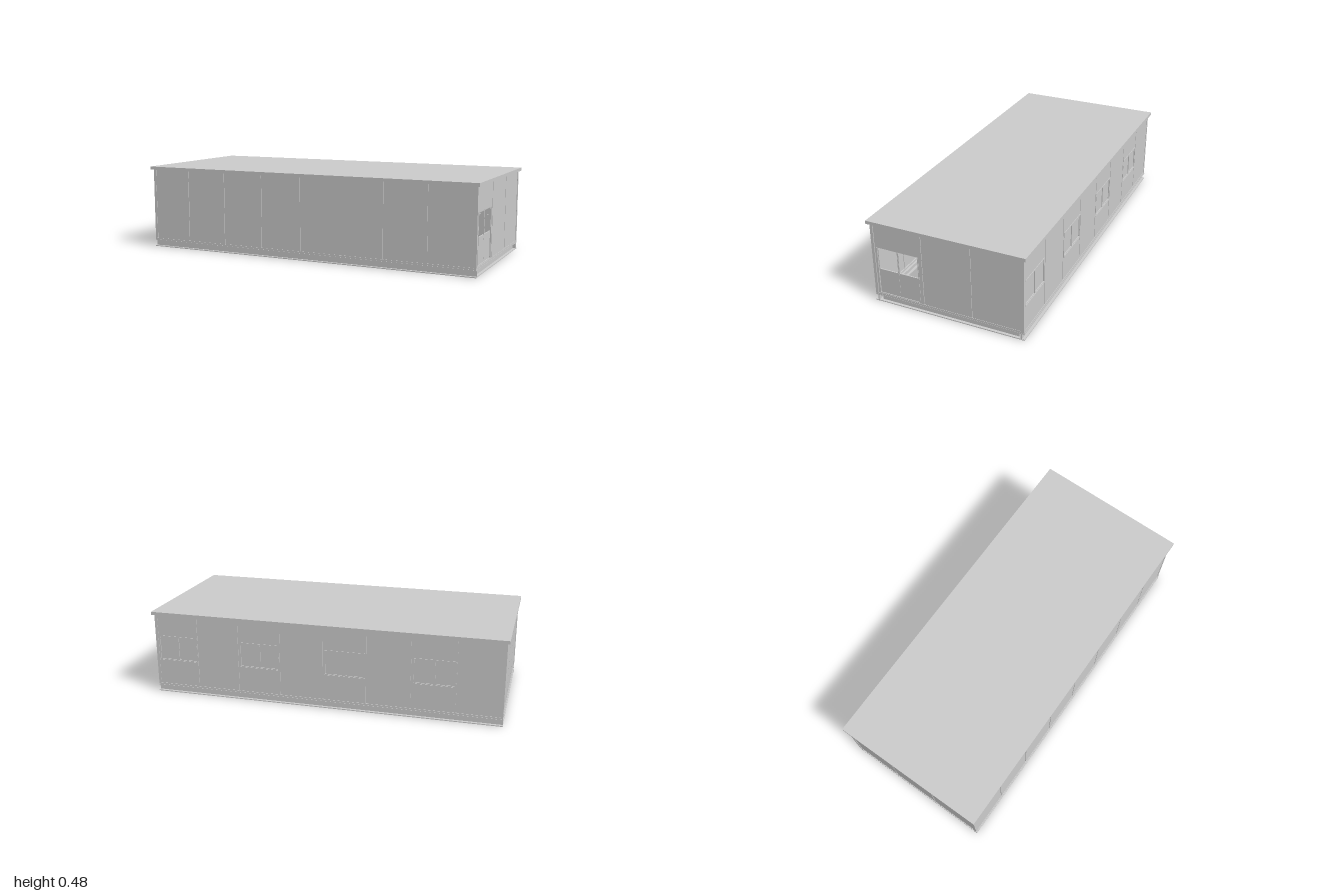
import * as THREE from 'three';

const mat = new THREE.MeshStandardMaterial({ color: 0xcccccc, side: THREE.DoubleSide });

const X = 0.985, Z = 0.425;        // outer faces of the walls
const Y0 = 0.05, Y1 = 0.462;       // wall bottom and top
const T = 0.012, GAP = 0.006;      // panel thickness and joint width

function box(parent, name, x0, x1, y0, y1, z0, z1) {
  const mesh = new THREE.Mesh(new THREE.BoxGeometry(x1 - x0, y1 - y0, z1 - z0), mat);
  mesh.position.set((x0 + x1) / 2, (y0 + y1) / 2, (z0 + z1) / 2);
  mesh.name = name;
  parent.add(mesh);
  return mesh;
}

function group(parent, name) {
  const g = new THREE.Group();
  g.name = name;
  parent.add(g);
  return g;
}

// I-section floor beam lying along local x
function beam(parent, name, length, width = 0.036) {
  const g = group(parent, name);
  const l = length / 2, w = width / 2;
  box(g, 'lowerFlange', -l, l, 0, 0.005, -w, w);
  box(g, 'web', -l, l, 0.005, 0.035, -0.003, 0.003);
  box(g, 'upperFlange', -l, l, 0.035, 0.04, -w, w);
  return g;
}

// Wall panel in local x/y, outer face at z = 0, with an optional rectangular hole
function panel(parent, x0, x1, hole) {
  const rect = (P, a, b, c, d) => {
    const p = new P();
    p.moveTo(a, c); p.lineTo(b, c); p.lineTo(b, d); p.lineTo(a, d); p.closePath();
    return p;
  };
  const shape = rect(THREE.Shape, x0 + GAP / 2, x1 - GAP / 2, Y0, Y1);
  if (hole) shape.holes.push(rect(THREE.Path, ...hole));
  const geo = new THREE.ExtrudeGeometry(shape, { depth: T, bevelEnabled: false });
  geo.translate(0, 0, -T);
  const mesh = new THREE.Mesh(geo, mat);
  mesh.name = 'wallPanel';
  parent.add(mesh);
}

// Rectangular frame of four bars
function frame(parent, name, x0, x1, y0, y1, w, z0, z1) {
  const g = group(parent, name);
  box(g, 'leftBar', x0, x0 + w, y0, y1, z0, z1);
  box(g, 'rightBar', x1 - w, x1, y0, y1, z0, z1);
  box(g, 'topBar', x0 + w, x1 - w, y1 - w, y1, z0, z1);
  box(g, 'bottomBar', x0 + w, x1 - w, y0, y0 + w, z0, z1);
}

// Two-pane window filling the width of one panel
function windowUnit(parent, x0, x1) {
  const g = group(parent, 'window');
  const a = x0 + 0.008, b = x1 - 0.008, m = (a + b) / 2;
  box(g, 'glass', a, b, 0.195, 0.335, -0.008, -0.004);
  frame(g, 'leftSash', a, m, 0.195, 0.335, 0.005, -0.006, 0.001);
  frame(g, 'rightSash', m, b, 0.195, 0.335, 0.005, -0.006, 0.001);
  box(g, 'head', a, b, 0.333, 0.338, 0, 0.003);
  box(g, 'sill', a, b, 0.19, 0.195, 0, 0.004);
}

// Double door with solid lower leaves and open upper lights
function doubleDoor(parent, x0, x1) {
  const g = group(parent, 'doubleDoor');
  const y0 = 0.055, y1 = 0.328, m = (x0 + x1) / 2;
  box(g, 'leftJamb', x0, x0 + 0.004, y0, y1, -T, 0.002);
  box(g, 'rightJamb', x1 - 0.004, x1, y0, y1, -T, 0.002);
  for (const [a, b] of [[x0 + 0.004, m - 0.0005], [m + 0.0005, x1 - 0.004]]) {
    box(g, 'lowerLeaf', a, b, y0, 0.195, -0.009, -0.004);
    frame(g, 'upperLight', a, b, 0.195, y1, 0.004, -0.009, -0.003);
  }
}

// A wall along local x, split at the given joints
function wall(parent, name, joints, openings = {}) {
  const g = group(parent, name);
  for (let i = 0; i < joints.length - 1; i++) {
    const a = joints[i], b = joints[i + 1], kind = openings[i];
    if (kind === 'window') {
      panel(g, a, b, [a + 0.008, b - 0.008, 0.195, 0.335]);
      windowUnit(g, a, b);
    } else if (kind === 'door') {
      panel(g, a, b, [-0.4, -0.155, 0.055, 0.328]);
      doubleDoor(g, -0.4, -0.155);
    } else panel(g, a, b);
    if (i > 0) box(g, 'jointStrip', a - GAP / 2, a + GAP / 2, Y0, Y1, -T - 0.003, -0.004);
  }
  return g;
}

export function createModel() {
  const model = new THREE.Group();
  model.name = 'modularCabin';

  // Open floor frame
  const base = group(model, 'floorFrame');
  for (const s of [-1, 1]) {
    beam(base, 'longBeam', 1.976).position.z = s * 0.412;
    const end = beam(base, 'endBeam', 0.79);
    end.rotation.y = Math.PI / 2;
    end.position.x = s * 0.97;
    for (const t of [-1, 1])
      box(base, 'cornerPlate', s * 0.979 - 0.01, s * 0.979 + 0.01, 0, 0.004, t * 0.42 - 0.01, t * 0.42 + 0.01);
  }
  for (const x of [-0.49, 0, 0.49]) {
    const b = beam(base, 'crossBeam', 0.79);
    b.rotation.y = Math.PI / 2;
    b.position.x = x;
  }

  // Bottom rail and corner posts
  for (const s of [-1, 1]) {
    box(model, 'longRail', -X - 0.002, X + 0.002, 0.04, Y0, s * 0.417 - 0.011, s * 0.417 + 0.011);
    box(model, 'endRail', s * 0.976 - 0.011, s * 0.976 + 0.011, 0.04, Y0, -0.406, 0.406);
    for (const t of [-1, 1]) {
      const post = group(model, 'cornerPost');
      box(post, 'core', s * 0.979 - 0.003, s * 0.979 + 0.003, Y0, Y1, t * 0.419 - 0.003, t * 0.419 + 0.003);
      box(post, 'longFlange', s * 0.98 - 0.008, s * 0.98 + 0.008, Y0, Y1, t * 0.425 - 0.002, t * 0.425 + 0.002);
      box(post, 'endFlange', s * 0.986 - 0.002, s * 0.986 + 0.002, Y0, Y1, t * 0.419 - 0.008, t * 0.419 + 0.008);
    }
  }

  // Long walls: eight panels each, windows in every other back panel
  const joints = [-0.975, -0.74, -0.495, -0.25, -0.005, 0.24, 0.485, 0.73, 0.975];
  wall(model, 'frontWall', joints).position.z = Z;
  const back = wall(model, 'backWall', joints.map((x) => -x).reverse(),
    { 0: 'window', 2: 'window', 4: 'window', 6: 'window' });
  back.rotation.y = Math.PI;
  back.position.z = -Z;

  // End walls: three panels each, door in the +x end
  const left = wall(model, 'leftEndWall', [-0.413, -0.133, 0.143, 0.413], { 0: 'door' });
  left.rotation.y = Math.PI / 2;
  left.position.x = X;
  const right = wall(model, 'rightEndWall', [-0.413, -0.143, 0.133, 0.413]);
  right.rotation.y = -Math.PI / 2;
  right.position.x = -X;

  // Flat overhanging roof
  box(model, 'roof', -1, 1, Y1, 0.48, -0.442, 0.442);
  return model;
}
